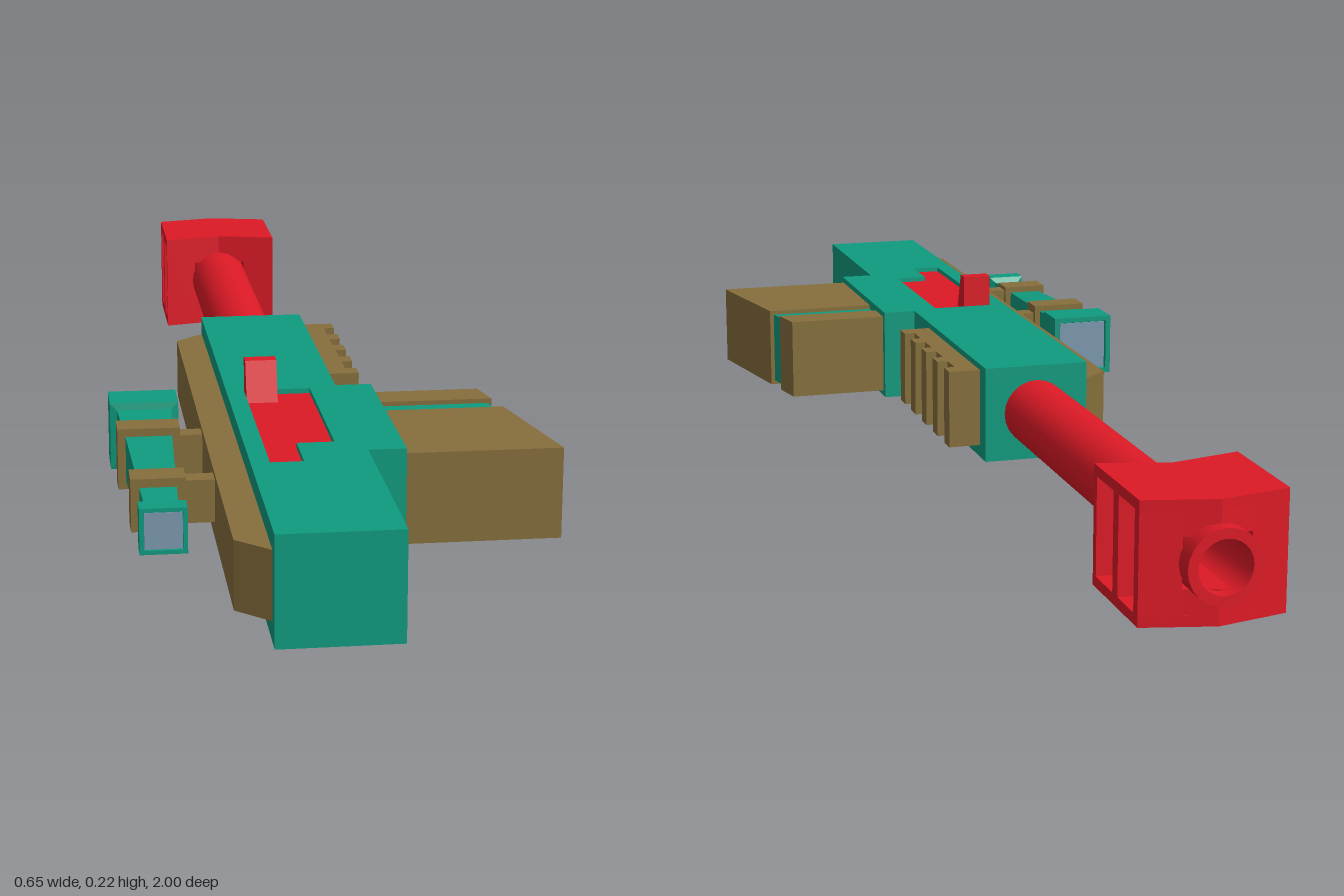
import * as THREE from 'three';
import { toCreasedNormals } from 'three/addons/utils/BufferGeometryUtils.js';

const material = (color, flat = true) => new THREE.MeshStandardMaterial({ color, flatShading: flat });

export function createModel() {
  const model = new THREE.Group();
  const teal = material(0x0f9b7f);
  const brown = material(0x866f3c);
  const red = material(0xdd1a26);
  const redSmooth = material(0xdd1a26, false);
  const glass = material(0x7d99b0);

  function add(name, geometry, mat) {
    const mesh = new THREE.Mesh(geometry, mat);
    mesh.name = name;
    model.add(mesh);
    return mesh;
  }

  // Box from its extents on each axis
  function box(name, [x0, x1], [y0, y1], [z0, z1], mat) {
    const g = new THREE.BoxGeometry(x1 - x0, y1 - y0, z1 - z0);
    g.translate((x0 + x1) / 2, (y0 + y1) / 2, (z0 + z1) / 2);
    return add(name, g, mat);
  }

  const points = (list) => list.map(([x, y]) => new THREE.Vector2(x, y));

  // Plan outline in x and z, raised from y0 to y1
  function slab(name, outline, y0, y1, mat, hole) {
    const shape = new THREE.Shape(points(outline));
    if (hole) shape.holes.push(new THREE.Path(points(hole)));
    const g = new THREE.ExtrudeGeometry(shape, { depth: y1 - y0, bevelEnabled: false });
    g.rotateX(Math.PI / 2).translate(0, y1, 0);
    return add(name, g, mat);
  }

  // Profile of [radius, z] turned around an axis along z
  function turned(name, profile, segments, x, y, mat, square = false) {
    const k = square ? Math.SQRT2 : 1;
    const g = new THREE.LatheGeometry(points(profile.map(([r, z]) => [r * k, z])), segments, Math.PI / 4);
    g.rotateX(Math.PI / 2).translate(x, y, 0);
    return add(name, square ? g : toCreasedNormals(g, 0.7), mat);
  }

  // Body with the side lug, and a shallow pocket in its upper face
  const body = [[-0.143, -0.16], [0.033, -0.16], [0.033, 0.307], [0.09, 0.307],
    [0.09, 0.653], [0.033, 0.653], [0.033, 1], [-0.143, 1]];
  const pocket = [[-0.115, 0.32], [-0.01, 0.32], [-0.01, 0.607], [-0.066, 0.607],
    [-0.066, 0.695], [-0.115, 0.695]];
  slab('body', body, 0.01, 0.155, teal);
  slab('bodyTop', body, 0.155, 0.17, teal, pocket);
  slab('boltPlate', pocket, 0.15, 0.162, red);

  // Bolt handle with a sloped front
  const bolt = box('boltHandle', [-0.115, -0.066], [0.16, 0.225], [0.322, 0.367], red);
  const bp = bolt.geometry.attributes.position;
  for (let i = 0; i < bp.count; i++) {
    if (bp.getY(i) > 0.2 && bp.getZ(i) > 0.35) bp.setZ(i, 0.345);
  }

  // Chamfered strip along the right side
  slab('sideStrip', [[-0.143, -0.155], [-0.143, 0.975], [-0.19, 0.93], [-0.19, -0.113]], 0.04, 0.14, brown);

  // Ribbed fore grip
  box('gripBase', [0.03, 0.068], [0.03, 0.16], [-0.125, 0.205], brown);
  for (let i = 0; i < 5; i++) {
    const z = -0.125 + i * 0.0745;
    box('gripRib', [0.06, 0.086], [0.03, 0.16], [z, z + 0.032], brown);
  }

  // Tapered magazine in three slices, the middle one set in
  function magazineSlice(name, z0, z1, inset, mat) {
    const edge = (z) => 0.26 + (z - 0.32) * 0.2 - inset;
    slab(name, [[0.085, z0], [edge(z0), z0], [edge(z1), z1], [0.085, z1]], 0.02 + inset, 0.16 - inset, mat);
  }
  magazineSlice('magazineBack', 0.32, 0.378, 0, brown);
  magazineSlice('magazineBand', 0.376, 0.426, 0.007, teal);
  magazineSlice('magazineFront', 0.424, 0.645, 0, brown);

  // Square tapered scope with lenses, collars and mounts
  const sx = -0.2725, sy = 0.099;
  turned('scope', [[0, 0.25], [0.043, 0.25], [0.045, 0.243], [0.054, 0.243], [0.054, 0.312], [0.043, 0.314],
    [0.037, 0.4], [0.024, 0.73], [0.034, 0.737], [0.034, 0.77], [0.028, 0.77], [0.028, 0.765], [0, 0.765]],
  4, sx, sy, teal, true);
  const lens = (name, h, z) => box(name, [sx - h, sx + h], [sy - h, sy + h], [z, z + 0.004], glass);
  lens('backLens', 0.043, 0.246);
  lens('frontLens', 0.027, 0.764);
  for (const [z, h] of [[0.41, 0.048], [0.632, 0.04]]) {
    box('scopeCollar', [sx - h, sx + h], [sy - h, sy + h], [z - 0.024, z + 0.024], brown);
    box('scopeMount', [sx, -0.18], [0.067, 0.132], [z - 0.016, z + 0.016], brown);
  }

  // Hollow barrel
  const cx = -0.055, cy = 0.09;
  turned('barrel', [[0, -0.85], [0.04, -0.85], [0.04, -1], [0.055, -1], [0.055, -0.15], [0, -0.15]]
    , 24, cx, cy, redSmooth);

  // Muzzle block: chevron plates around a slotted middle, open at the bore
  const half = 0.108;
  const side = [[half, -0.955], [half, -0.938], [0.082, -0.938], [0.082, -0.874], [half, -0.874],
    [half, -0.853], [0.082, -0.853], [0.082, -0.783], [half, -0.783], [half, -0.77]];
  const chevron = [[0, -0.98], [half, -0.955], [half, -0.77], [0, -0.797], [-half, -0.77], [-half, -0.955]];
  const slotted = [[0, -0.98], ...side, [0, -0.797], ...side.map(([x, z]) => [-x, z]).reverse()];
  const place = (list) => list.map(([x, z]) => [x + cx, z]);
  slab('muzzleBottom', place(chevron), 0, 0.016, red);
  slab('muzzleTop', place(chevron), 0.163, 0.179, red);
  // The middle is split at the bore height so the barrel end stays open
  const right = place([[0.05, -0.968], ...side, [0.05, -0.785]]);
  const left = place([[-0.05, -0.968], [-0.05, -0.785], ...side.map(([x, z]) => [-x, z]).reverse()]);
  slab('muzzleSide', right, 0.016, 0.163, red);
  slab('muzzleSide', left, 0.016, 0.163, red);
  const centre = place([[0, -0.98], [0.05, -0.968], [0.05, -0.785], [0, -0.797], [-0.05, -0.785], [-0.05, -0.968]]);
  slab('muzzleCentre', centre, 0.016, 0.053, red);
  slab('muzzleCentre', centre, 0.127, 0.163, red);

  return model;
}
